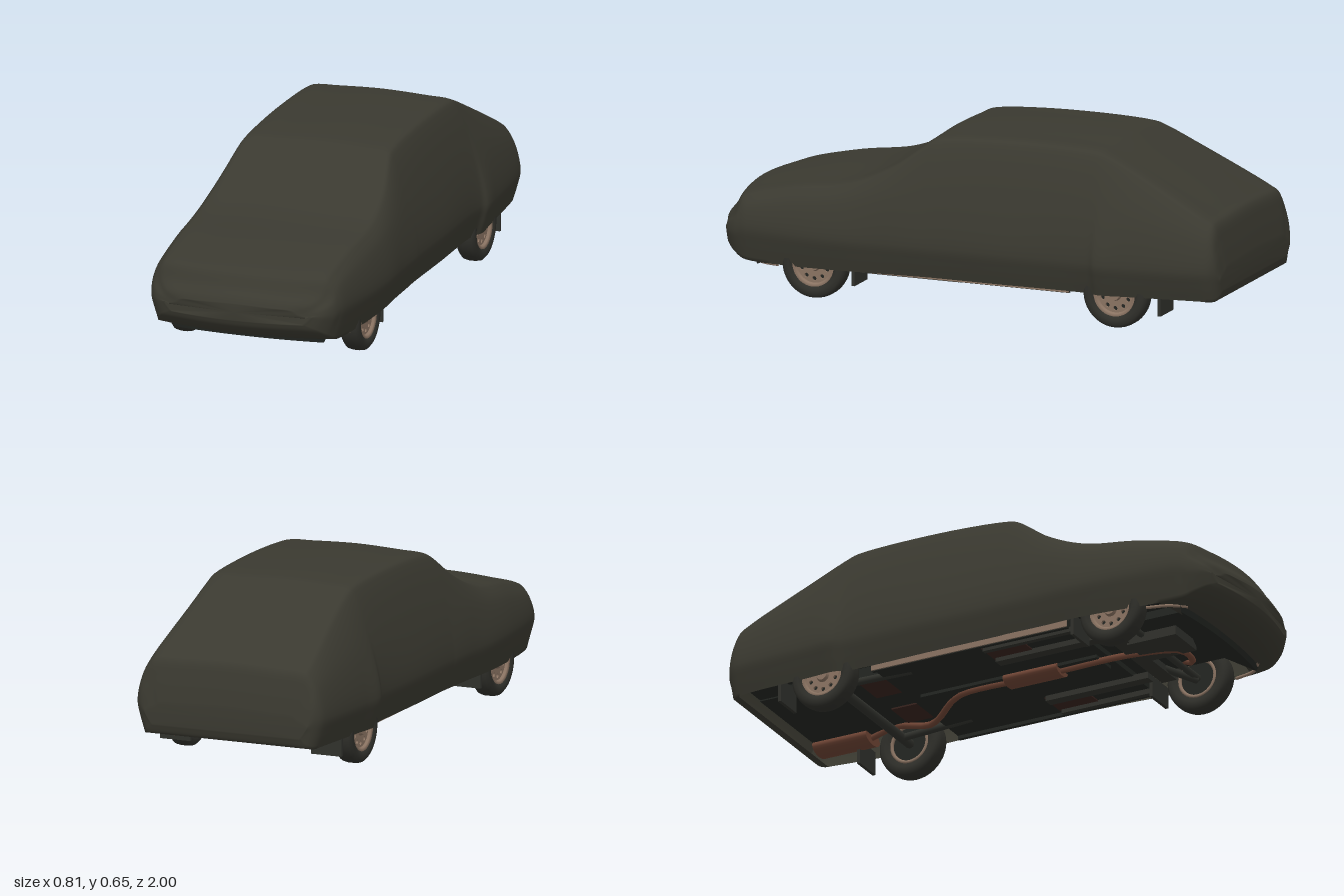
import * as THREE from 'three';

const mat = (name, color, side = THREE.FrontSide) => {
  const m = new THREE.MeshStandardMaterial({ color, side });
  m.name = name;
  return m;
};

export function createModel() {
  const group = new THREE.Group();
  const cloth = mat('cover cloth', 0x3a3930, THREE.DoubleSide);
  const rubber = mat('tyre rubber', 0x2f2f2a);
  const under = mat('underbody', 0x232622, THREE.DoubleSide);
  const frame = mat('chassis grey', 0x30312c);
  const rust = mat('rusty exhaust', 0x6e4434);
  const tan = mat('wheel tan', 0x8a7362);
  const maroon = mat('floor patches', 0x38231e);

  const add = (name, geo, m, x = 0, y = 0, z = 0, parent = group) => {
    const mesh = new THREE.Mesh(geo, m);
    mesh.name = name;
    mesh.position.set(x, y, z);
    parent.add(mesh);
    return mesh;
  };
  const box = (name, m, w, h, d, x, y, z) => add(name, new THREE.BoxGeometry(w, h, d), m, x, y, z);
  const tube = (name, m, pts, r) => add(name, new THREE.TubeGeometry(
    new THREE.CatmullRomCurve3(pts.map(p => new THREE.Vector3(...p)), false, 'centripetal'), 40, r, 8), m);

  // Cloth cover: z, top, top half width, shoulder half width, shoulder y, widest half width, hem y
  const stations = [
    [0.997, 0.25, 0.23, 0.26, 0.23, 0.28, 0.19],
    [0.985, 0.272, 0.29, 0.315, 0.24, 0.325, 0.165],
    [0.96, 0.30, 0.32, 0.345, 0.26, 0.353, 0.14],
    [0.93, 0.348, 0.328, 0.352, 0.29, 0.365, 0.122],
    [0.90, 0.364, 0.33, 0.354, 0.31, 0.372, 0.115],
    [0.70, 0.407, 0.335, 0.365, 0.34, 0.39, 0.112],
    [0.46, 0.443, 0.338, 0.37, 0.37, 0.402, 0.116],
    [0.30, 0.512, 0.322, 0.365, 0.40, 0.395, 0.118],
    [0.155, 0.615, 0.29, 0.357, 0.42, 0.392, 0.12],
    [0.12, 0.627, 0.286, 0.357, 0.42, 0.39, 0.12],
    [-0.15, 0.645, 0.283, 0.357, 0.42, 0.39, 0.12],
    [-0.50, 0.636, 0.282, 0.357, 0.42, 0.39, 0.12],
    [-0.54, 0.624, 0.282, 0.36, 0.42, 0.406, 0.12],
    [-0.65, 0.574, 0.288, 0.36, 0.41, 0.398, 0.122],
    [-0.93, 0.432, 0.315, 0.35, 0.35, 0.375, 0.126],
    [-0.965, 0.41, 0.312, 0.345, 0.33, 0.365, 0.124],
    [-0.985, 0.34, 0.30, 0.335, 0.29, 0.348, 0.13],
    [-1.0, 0.25, 0.28, 0.305, 0.23, 0.32, 0.165],
  ];
  const halfSection = ([z, t, rw, sw, sy, w, b]) => {
    const wy = Math.min(0.24, b + (t - b) * 0.5);
    return [[0, t], [rw * 0.6, t - 0.006], [rw - 0.02, t - 0.012], [rw, t - 0.026],
      [sw, Math.min(sy, t - 0.035)], [w, wy], [w - 0.012, (wy + b) / 2], [w - 0.03, b]]
      .map(([x, y]) => new THREE.Vector3(x, y, z));
  };
  const sections = stations.map(halfSection);
  const rails = sections[0].map((_, i) =>
    new THREE.CatmullRomCurve3(sections.map(s => s[i]), false, 'centripetal'));
  const rows = 110, cols = 64, tuck = 12, n = cols + tuck;
  const pos = [], idx = [];
  const put = p => {
    const bow = 0.5 * p.x * p.x * THREE.MathUtils.clamp((p.z - 0.6) / 0.35, 0, 1);
    pos.push(p.x, p.y, p.z - bow);
  };
  for (let r = 0; r <= rows; r++) {
    const half = rails.map(c => c.getPoint(r / rows));
    const full = [...half.slice(1).reverse().map(p => new THREE.Vector3(-p.x, p.y, p.z)), ...half];
    const ring = new THREE.CatmullRomCurve3(full, false, 'centripetal');
    for (let c = 0; c <= cols; c++) put(ring.getPoint(c / cols));
    for (let c = 1; c < tuck; c++) put(full[full.length - 1].clone().lerp(full[0], c / tuck));
    // The cloth is tucked under only at the nose and tail
    const closed = half[0].z > 0.84 || half[0].z < -0.95;
    if (r < rows) for (let c = 0; c < (closed ? n : cols); c++) {
      const a = r * n + c, b = r * n + (c + 1) % n;
      idx.push(a, b, a + n, b, b + n, a + n);
    }
  }
  // Close the nose and tail
  for (const [row, z, y] of [[0, 0.997, 0.22], [rows, -1, 0.21]]) {
    const k = pos.length / 3;
    pos.push(0, y, z);
    for (let c = 0; c < n; c++) {
      const a = row * n + c, b = row * n + (c + 1) % n;
      idx.push(k, ...(row ? [a, b] : [b, a]));
    }
  }
  const cover = new THREE.BufferGeometry();
  cover.setAttribute('position', new THREE.Float32BufferAttribute(pos, 3));
  cover.setIndex(idx);
  cover.computeVertexNormals();
  add('cover', cover, cloth);

  // Underbody
  box('wheelWellRoof', under, 0.64, 0.01, 1.7, 0, 0.25, -0.02);
  box('floorPan', under, 0.64, 0.04, 0.8, 0, 0.14, -0.01);
  box('engineTray', under, 0.42, 0.03, 0.44, 0, 0.145, 0.62);
  box('rearFloor', under, 0.44, 0.04, 0.54, 0, 0.17, -0.66);
  box('bootFloor', under, 0.6, 0.02, 0.12, 0, 0.165, -0.87);
  const lip = new THREE.CylinderGeometry(0.5, 0.47, 0.035, 32, 1, false, -0.62, 1.24);
  lip.scale(1.05, 1, 0.24);
  add('frontLip', lip, under, 0, 0.107, 0.74);
  box('engineSump', frame, 0.16, 0.05, 0.2, -0.04, 0.12, 0.62);
  box('frontCrossMember', frame, 0.48, 0.025, 0.06, 0, 0.115, 0.5);
  box('transmissionTunnel', under, 0.11, 0.02, 0.72, 0, 0.118, 0);
  for (const s of [-1, 1]) {
    box('sill', under, 0.014, 0.03, 0.8, s * 0.327, 0.122, -0.01);
    box('sillTrim', tan, 0.005, 0.025, 0.8, s * 0.337, 0.122, -0.01);
    tube('bumperEdge', tan, [[s * 0.27, 0.113, 0.85], [s * 0.32, 0.108, 0.8], [s * 0.343, 0.108, 0.72]], 0.006);
    box('chassisRail', frame, 0.04, 0.025, 0.42, s * 0.19, 0.112, 0.24);
    box('jackingRail', frame, 0.02, 0.02, 0.4, s * 0.3, 0.11, 0.23);
    box('floorPatch', maroon, 0.12, 0.006, 0.16, s * 0.24, 0.118, 0.1);
    box('rearFloorPatch', maroon, 0.13, 0.006, 0.14, s * 0.12, 0.147, -0.47);
    box('frontMudFlap', frame, 0.12, 0.08, 0.012, s * 0.3, 0.1, 0.425);
    box('rearMudFlap', frame, 0.12, 0.09, 0.012, s * 0.3, 0.105, -0.775);
    tube('trailingArm', frame, [[s * 0.23, 0.13, -0.3], [s * 0.25, 0.125, -0.6]], 0.014);
    tube('controlArm', frame, [[s * 0.12, 0.12, 0.5], [s * 0.3, 0.115, 0.58]], 0.014);
  }
  tube('rearAxle', frame, [[-0.31, 0.125, -0.6], [0.31, 0.125, -0.6]], 0.018);
  tube('frontAxle', frame, [[-0.31, 0.125, 0.58], [0.31, 0.125, 0.58]], 0.013);

  // Exhaust
  tube('exhaustPipe', rust, [[0.18, 0.14, 0.59], [0.16, 0.115, 0.64], [0.03, 0.105, 0.66],
    [-0.02, 0.105, 0.5], [-0.02, 0.105, 0.1], [-0.02, 0.105, -0.2], [0.02, 0.105, -0.27],
    [0.17, 0.11, -0.44], [0.2, 0.15, -0.6], [0.23, 0.14, -0.72]], 0.012);
  const silencer = (name, r, len, x, y, z) => {
    const g = new THREE.CylinderGeometry(r, r, len, 20);
    g.rotateX(Math.PI / 2);
    g.scale(1.5, 0.75, 1);
    add(name, g, rust, x, y, z);
  };
  silencer('middleSilencer', 0.03, 0.22, -0.02, 0.108, 0.09);
  silencer('rearSilencer', 0.036, 0.22, 0.23, 0.14, -0.82);

  // Wheels: tyre, pierced rim, dark drum and hub, turned to face outwards
  const tyreGeo = new THREE.LatheGeometry([[0.078, -0.03], [0.095, -0.038], [0.112, -0.036],
    [0.122, -0.027], [0.125, -0.012], [0.125, 0.012], [0.122, 0.027], [0.112, 0.036],
    [0.095, 0.038], [0.078, 0.03], [0.076, 0], [0.078, -0.03]]
    .map(p => new THREE.Vector2(...p)), 40);
  const face = new THREE.Shape().absarc(0, 0, 0.07, 0, Math.PI * 2);
  for (let i = 0; i < 10; i++) {
    const a = i * Math.PI / 5;
    face.holes.push(new THREE.Path().absarc(0.052 * Math.cos(a), 0.052 * Math.sin(a), 0.008, 0, Math.PI * 2, true));
  }
  const faceGeo = new THREE.ExtrudeGeometry(face, { depth: 0.008, bevelEnabled: false, curveSegments: 20 });
  faceGeo.rotateX(-Math.PI / 2);
  const rimGeo = new THREE.LatheGeometry([[0.066, 0.014], [0.076, 0.012], [0.081, 0.028],
    [0.08, 0.034], [0.07, 0.03], [0.066, 0.014]].map(p => new THREE.Vector2(...p)), 40);
  for (const s of [-1, 1]) for (const z of [0.58, -0.6]) {
    const wheel = new THREE.Group();
    wheel.name = z > 0 ? 'frontWheel' : 'rearWheel';
    wheel.position.set(s * 0.332, 0.125, z);
    wheel.rotation.z = -s * Math.PI / 2;
    add('tyre', tyreGeo, rubber, 0, 0, 0, wheel);
    add('rimEdge', rimGeo, tan, 0, 0, 0, wheel);
    add('rimFace', faceGeo, tan, 0, 0.013, 0, wheel);
    add('brakeDrum', new THREE.CylinderGeometry(0.076, 0.07, 0.034, 32), under, 0, -0.006, 0, wheel);
    add('innerRim', new THREE.TorusGeometry(0.072, 0.007, 8, 32).rotateX(Math.PI / 2), tan, 0, -0.026, 0, wheel);
    add('hub', new THREE.CylinderGeometry(0.02, 0.025, 0.014, 20), tan, 0, 0.027, 0, wheel);
    group.add(wheel);
  }
  return group;
}
